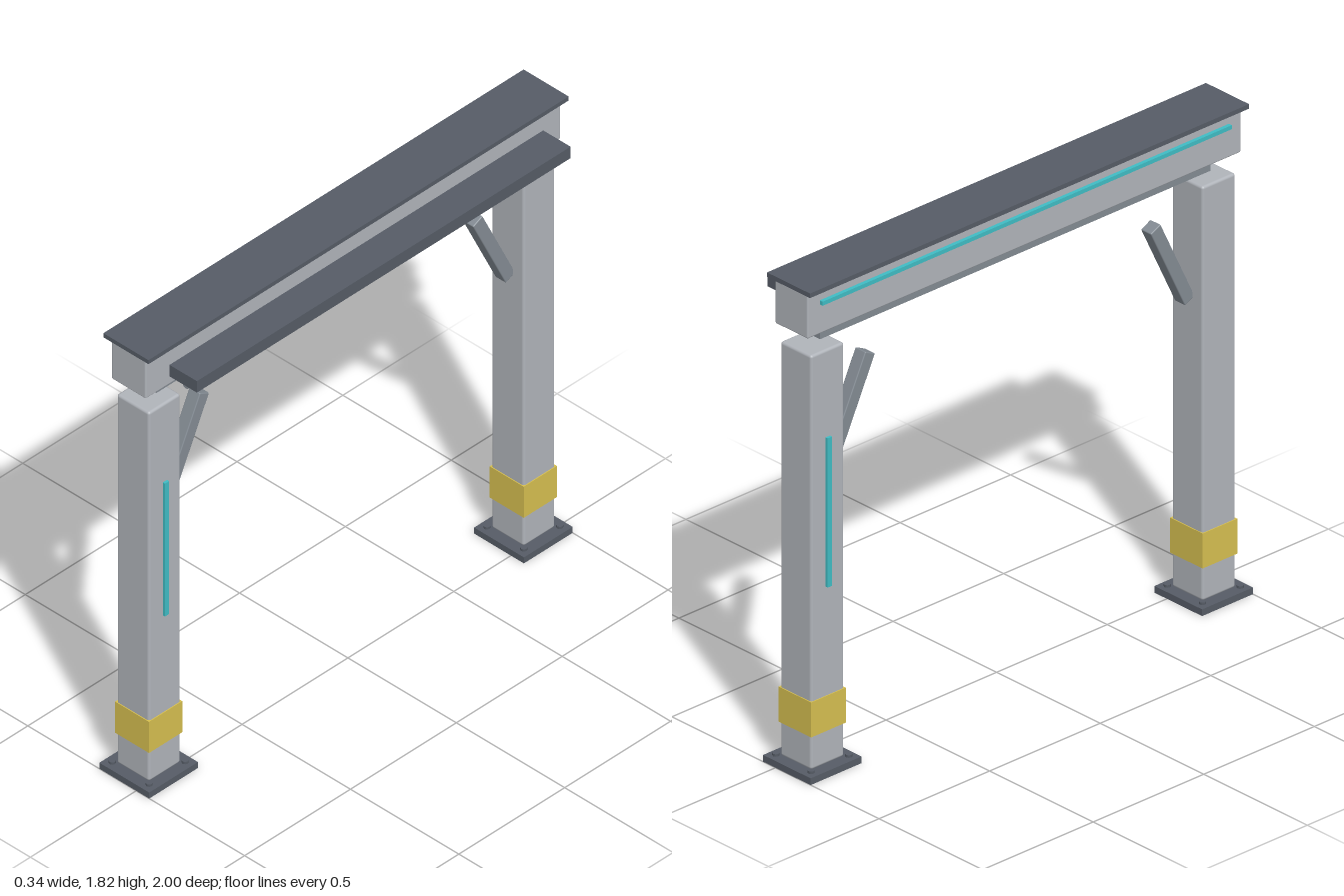
import * as THREE from 'three';
import { RoundedBoxGeometry } from 'three/addons/geometries/RoundedBoxGeometry.js';

const mat = (name, color) => {
  const m = new THREE.MeshStandardMaterial({ color });
  m.name = name;
  return m;
};

export function createModel() {
  const lightSteel = mat('light steel', 0xb0b4ba);
  const midSteel = mat('mid steel', 0x838b93);
  const darkSteel = mat('dark steel', 0x565c66);
  const yellow = mat('safety yellow', 0xd6bf50);
  const cyan = mat('cyan light', 0x40bcc4);

  const model = new THREE.Group();
  model.name = 'gantryFrame';
  const cx = -0.055; // centre line of the columns and beam
  const baseZ = 0.885;

  const add = (parent, name, geometry, material, x, y, z) => {
    const mesh = new THREE.Mesh(geometry, material);
    mesh.name = name;
    mesh.position.set(x, y, z);
    parent.add(mesh);
    return mesh;
  };
  const box = (w, h, d) => new THREE.BoxGeometry(w, h, d);
  const rounded = (w, h, d, r) => new RoundedBoxGeometry(w, h, d, 2, r);

  // Two columns; the light strip sits on opposite sides
  for (const s of [1, -1]) {
    const column = new THREE.Group();
    column.name = s > 0 ? 'frontColumn' : 'backColumn';
    column.position.set(cx, 0, s * baseZ);
    model.add(column);

    add(column, 'basePlate', box(0.23, 0.025, 0.23), darkSteel, 0, 0.0125, 0);
    for (const bx of [-1, 1]) {
      for (const bz of [-1, 1]) {
        add(column, 'anchorBolt', new THREE.CylinderGeometry(0.012, 0.012, 0.016, 8),
          darkSteel, bx * 0.085, 0.026, bz * 0.085);
      }
    }
    add(column, 'post', rounded(0.15, 1.54, 0.15, 0.01), lightSteel, 0, 0.795, 0);
    add(column, 'warningBand', box(0.157, 0.13, 0.157), yellow, 0, 0.215, 0);
    add(column, 'lightStrip', box(0.01, 0.555, 0.02), cyan, s * 0.08, 0.963, 0);

    // Diagonal brace leaning towards the middle of the span
    const brace = add(column, 'brace', rounded(0.05, 0.356, 0.049, 0.004), midSteel,
      0, 1.288, s * (0.7225 - baseZ));
    brace.rotation.x = -s * 0.45;
  }

  // Beam with top plate and side light
  add(model, 'beam', rounded(0.158, 0.17, 1.96, 0.006), lightSteel, cx, 1.722, 0);
  add(model, 'topPlate', box(0.208, 0.017, 1.985), darkSteel, cx, 1.8125, 0);
  add(model, 'beamLight', box(0.014, 0.015, 1.85), cyan, -0.141, 1.755, 0);

  // Rail hung beneath the beam
  add(model, 'rail', box(0.07, 0.038, 1.765), midSteel, cx, 1.605, 0);
  for (let i = -2; i <= 2; i++) {
    add(model, 'railHanger', box(0.088, 0.023, 0.052), darkSteel, cx, 1.627, i * 0.405);
  }

  // Cable tray and conduit alongside the beam
  add(model, 'cableTray', box(0.126, 0.048, 1.765), darkSteel, 0.102, 1.711, 0);
  const conduit = add(model, 'conduit', new THREE.CylinderGeometry(0.015, 0.015, 1.74, 12),
    midSteel, 0.102, 1.678, 0);
  conduit.rotation.x = Math.PI / 2;

  return model;
}
